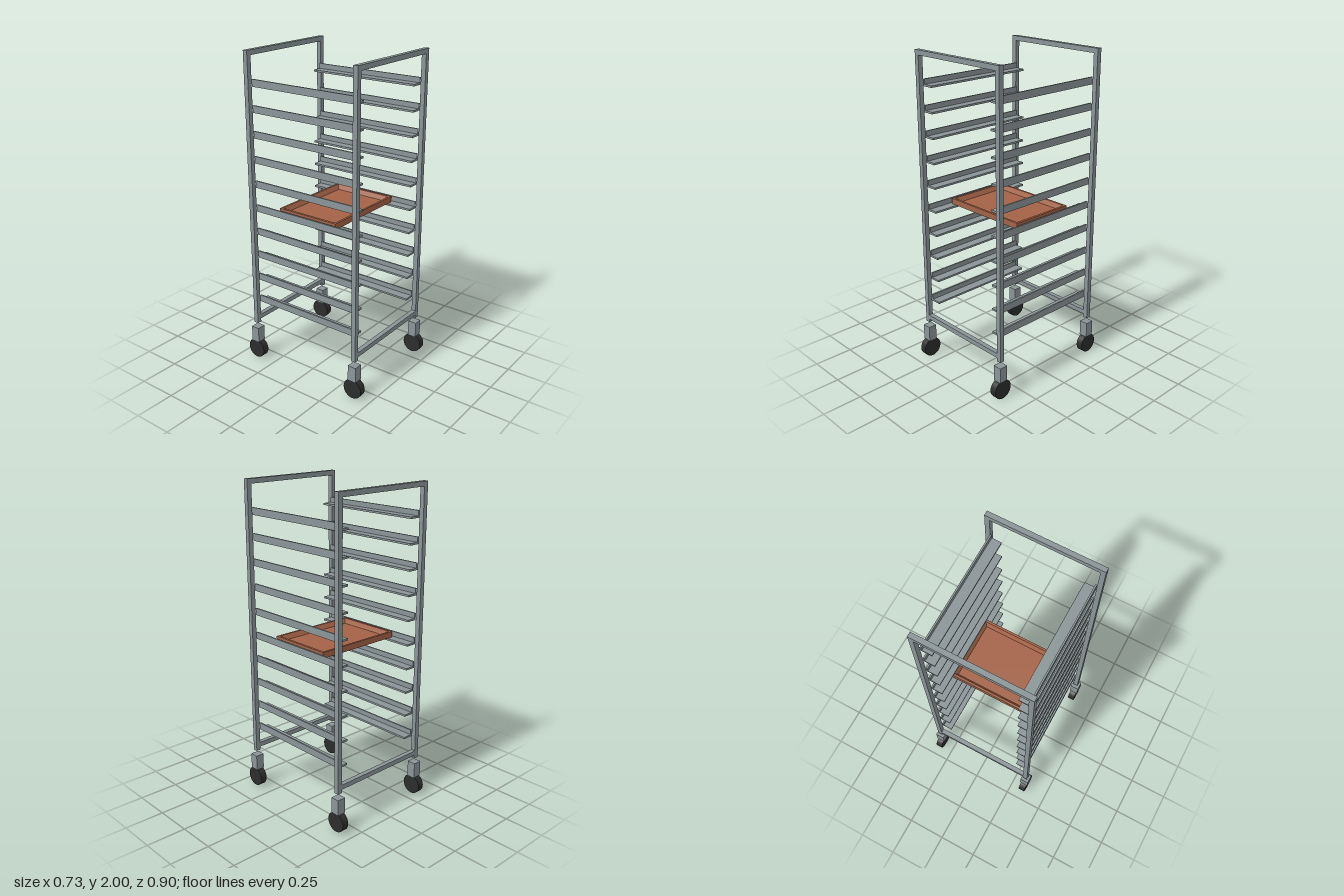
import * as THREE from 'three';

const steel = new THREE.MeshStandardMaterial({ color: 0x8a9597 });
steel.name = 'steel';
const rubber = new THREE.MeshStandardMaterial({ color: 0x2b2c2c });
rubber.name = 'rubber';
const copper = new THREE.MeshStandardMaterial({ color: 0xa36246 });
copper.name = 'copper';

const POST_X = 0.336, POST_Z = 0.387, TUBE = 0.03;
const RAILS = 10, RAIL_Y = 0.398, RAIL_STEP = 0.1545, FLANGE = 0.012;

function add(parent, name, geometry, material, x = 0, y = 0, z = 0) {
  const mesh = new THREE.Mesh(geometry, material);
  mesh.name = name;
  mesh.position.set(x, y, z);
  parent.add(mesh);
  return mesh;
}

// L-shaped angle rail running front to back, open towards the middle
function railGeometry(side) {
  const outline = [[0.25, 0], [0.32, 0], [0.32, 0.044], [0.31, 0.044], [0.31, FLANGE], [0.25, FLANGE]];
  const shape = new THREE.Shape(outline.map(([x, y]) => new THREE.Vector2(side * x, y)));
  const length = 2 * POST_Z - TUBE;
  const geometry = new THREE.ExtrudeGeometry(shape, { depth: length, bevelEnabled: false });
  return geometry.translate(0, 0, -length / 2);
}

// Tray lofted through rectangles: bottom, outer rim, inner rim, floor
function trayGeometry() {
  const loops = [[0.29, 0, 0.21], [0.29, 0.037, 0.21], [0.275, 0.037, 0.196], [0.26, 0.008, 0.18]]
    .map(([x, y, z]) => [[-x, y, z], [x, y, z], [x, y, -z], [-x, y, -z]]);
  const points = [];
  const quad = (a, b, c, d) => points.push(...a, ...b, ...c, ...a, ...c, ...d);
  for (let i = 0; i < loops.length - 1; i++) {
    for (let k = 0; k < 4; k++) {
      const n = (k + 1) % 4;
      quad(loops[i][k], loops[i][n], loops[i + 1][n], loops[i + 1][k]);
    }
  }
  quad(...loops[3]);
  quad(...[...loops[0]].reverse());
  const geometry = new THREE.BufferGeometry();
  geometry.setAttribute('position', new THREE.Float32BufferAttribute(points, 3));
  geometry.computeVertexNormals();
  return geometry;
}

export function createModel() {
  const model = new THREE.Group();
  model.name = 'trayRack';

  const postGeometry = new THREE.BoxGeometry(TUBE, 1.75, TUBE);
  const barGeometry = new THREE.BoxGeometry(2 * POST_X - TUBE, TUBE, TUBE);
  const housingGeometry = new THREE.BoxGeometry(0.056, 0.1, 0.056);
  const wheelGeometry = new THREE.CylinderGeometry(0.063, 0.063, 0.043, 24).rotateZ(Math.PI / 2);

  // End frames with a caster below each post
  for (const sz of [1, -1]) {
    const frame = new THREE.Group();
    frame.name = sz > 0 ? 'frontFrame' : 'backFrame';
    model.add(frame);
    const z = sz * POST_Z;
    add(frame, 'topBar', barGeometry, steel, 0, 1.985, z);
    add(frame, 'bottomBar', barGeometry, steel, 0, 0.287, z);
    for (const sx of [1, -1]) {
      const x = sx * POST_X;
      add(frame, 'post', postGeometry, steel, x, 1.125, z);
      const caster = new THREE.Group();
      caster.name = 'caster';
      caster.position.set(x, 0, z);
      frame.add(caster);
      add(caster, 'casterHousing', housingGeometry, steel, 0, 0.17, 0);
      add(caster, 'wheel', wheelGeometry, rubber, 0, 0.063, 0);
    }
  }

  // Pairs of angle rails
  for (const side of [1, -1]) {
    const rails = new THREE.Group();
    rails.name = side > 0 ? 'leftRails' : 'rightRails';
    model.add(rails);
    const geometry = railGeometry(side);
    for (let i = 0; i < RAILS; i++) add(rails, 'rail', geometry, steel, 0, RAIL_Y + i * RAIL_STEP, 0);
  }

  // Tray resting on the fifth pair
  add(model, 'tray', trayGeometry(), copper, 0, RAIL_Y + 4 * RAIL_STEP + FLANGE + 0.001, 0);

  return model;
}
